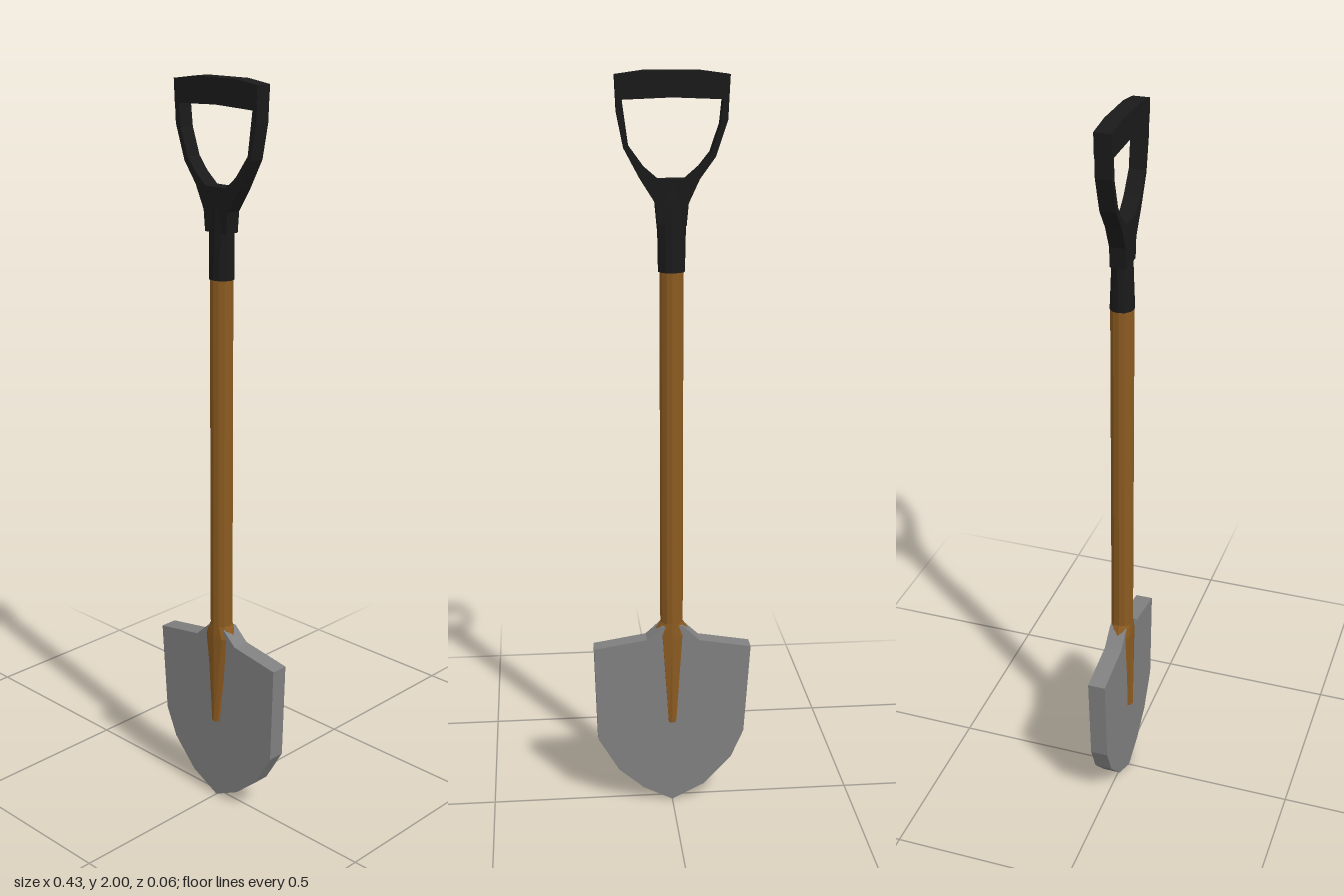
import * as THREE from 'three';

const material = (color) => new THREE.MeshStandardMaterial({ color, flatShading: true });

// Closed tube of elliptical sections, each [y, radiusX, radiusZ], listed bottom to top
function loft(sections, sides, z = 0) {
  const n = sections.length - 1;
  const geo = new THREE.CylinderGeometry(1, 1, n, sides, n);
  const pos = geo.attributes.position;
  for (let i = 0; i < pos.count; i++) {
    const [y, rx, rz] = sections[Math.round(pos.getY(i) + n / 2)];
    pos.setXYZ(i, pos.getX(i) * rx, y, pos.getZ(i) * rz + z);
  }
  geo.computeVertexNormals();
  return geo;
}

// Flat plate cut from an outline, spanning back to front in z
function plate(outline, back, front, hole) {
  const points = (list) => list.map(([x, y]) => new THREE.Vector2(x, y));
  const shape = new THREE.Shape(points(outline));
  if (hole) shape.holes.push(new THREE.Path(points(hole)));
  const geo = new THREE.ExtrudeGeometry(shape, { depth: front - back, bevelEnabled: false });
  return geo.translate(0, 0, back);
}

export function createModel() {
  const model = new THREE.Group();
  const wood = material(0x8b5a20);
  const black = material(0x1a1a1a);
  const steel = material(0x808080);

  const add = (name, geometry, mat, parent = model) => {
    const mesh = new THREE.Mesh(geometry, mat);
    mesh.name = name;
    parent.add(mesh);
  };

  // Thick pointed blade with sloping shoulders
  add('blade', plate([
    [0, 0], [0.08, 0.04], [0.15, 0.1], [0.207, 0.197], [0.215, 0.467],
    [0.07, 0.49], [0.028, 0.528], [-0.028, 0.528], [-0.075, 0.484],
    [-0.217, 0.46], [-0.2, 0.205], [-0.165, 0.125], [-0.09, 0.045],
  ], -0.028, 0.02), steel);

  // Wooden shaft, flaring at the blade and tapering into a tongue
  add('shaft', loft([
    [0.24, 0.019, 0.032], [0.5, 0.053, 0.032], [0.535, 0.031, 0.031], [1.51, 0.031, 0.031],
  ], 12, -0.001), wood);

  // D-shaped handle
  const handle = new THREE.Group();
  handle.name = 'handle';
  model.add(handle);

  add('handleSocket', loft([
    [1.5, 0.035, 0.032], [1.58, 0.036, 0.028], [1.66, 0.04, 0.024], [1.725, 0.045, 0.02],
  ], 12, -0.001), black, handle);

  add('handleGrip', plate([
    [0.037, 1.62], [0.042, 1.675], [0.08, 1.735], [0.12, 1.81], [0.138, 1.9],
    [0.142, 1.99], [0.07, 2], [-0.07, 2], [-0.145, 1.99], [-0.14, 1.88],
    [-0.11, 1.79], [-0.07, 1.735], [-0.042, 1.675], [-0.037, 1.62],
  ], -0.021, 0.021, [
    [0.035, 1.735], [0.07, 1.765], [0.11, 1.82], [0.125, 1.93], [0, 1.935],
    [-0.128, 1.93], [-0.122, 1.87], [-0.098, 1.8], [-0.07, 1.765], [-0.035, 1.735],
  ]), black, handle);

  // Thicker crossbar face across the top of the grip
  add('crossbar', plate([
    [-0.142, 1.93], [0, 1.936], [0.138, 1.93], [0.142, 1.99],
    [0.07, 2], [-0.07, 2], [-0.145, 1.99],
  ], -0.022, 0.022), black, handle);

  return model;
}
